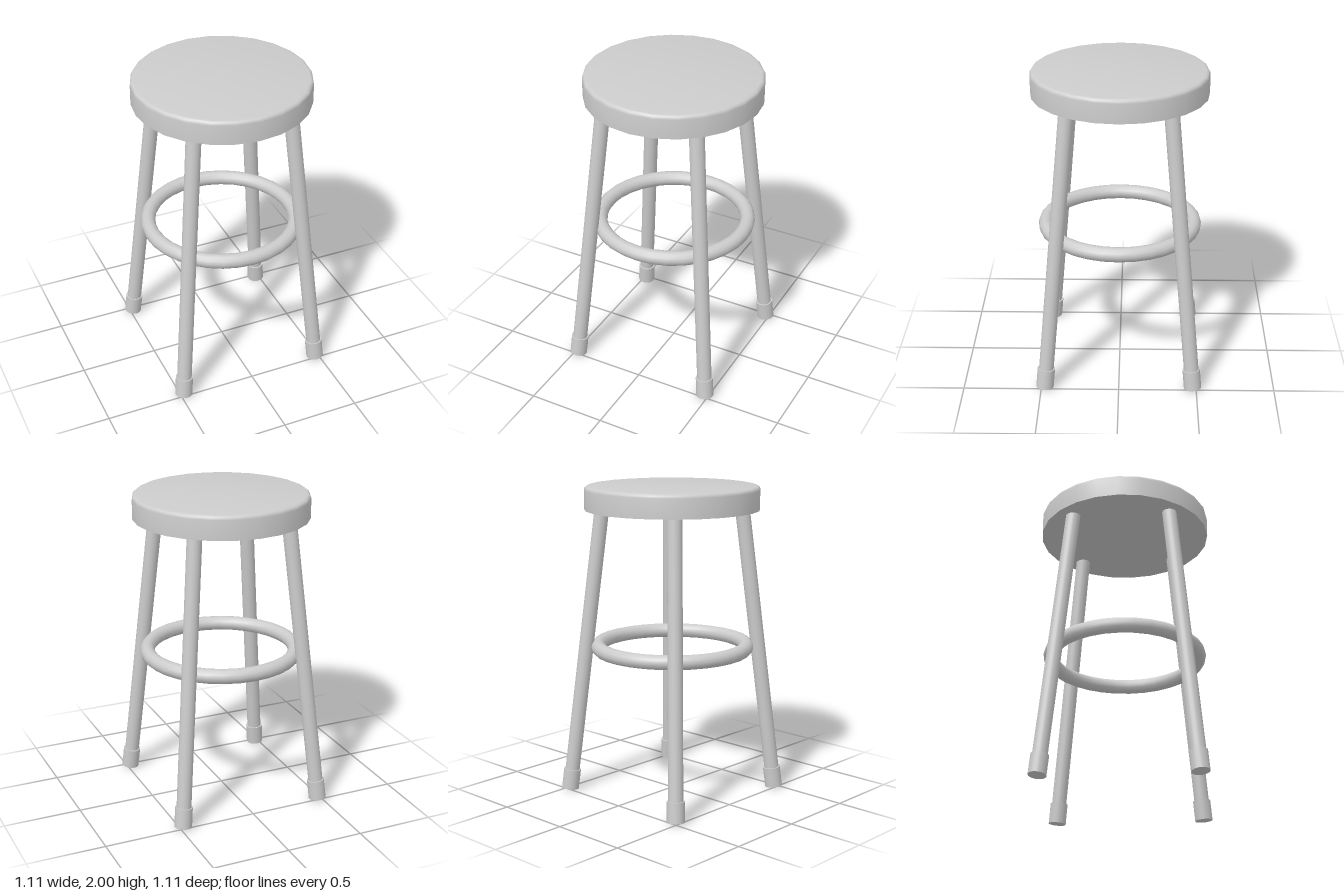
import * as THREE from 'three';
import { toCreasedNormals } from 'three/addons/utils/BufferGeometryUtils.js';

const material = new THREE.MeshStandardMaterial({ color: 0xcccccc });

function part(name, geometry) {
  const mesh = new THREE.Mesh(geometry, material);
  mesh.name = name;
  return mesh;
}

// Capped cylinder running from point a to point b
function rod(name, a, b, radius) {
  const mesh = part(name, new THREE.CylinderGeometry(radius, radius, a.distanceTo(b), 20));
  mesh.position.copy(a).add(b).multiplyScalar(0.5);
  mesh.quaternion.setFromUnitVectors(new THREE.Vector3(0, 1, 0), b.clone().sub(a).normalize());
  return mesh;
}

export function createModel() {
  const stool = new THREE.Group();
  stool.name = 'stool';

  // Round seat with a softened upper rim
  const R = 0.557, top = 2, base = 1.85, fillet = 0.025;
  const profile = [new THREE.Vector2(0, base), new THREE.Vector2(R, base)];
  for (let i = 0; i <= 4; i++) {
    const a = (i / 4) * Math.PI / 2;
    profile.push(new THREE.Vector2(R - fillet + fillet * Math.cos(a), top - fillet + fillet * Math.sin(a)));
  }
  profile.push(new THREE.Vector2(0, top));
  stool.add(part('seat', toCreasedNormals(new THREE.LatheGeometry(profile, 24), 0.6)));

  // Four splayed legs, each with a thicker foot cap
  for (const [sx, sz, side] of [[1, 1, 'frontLeft'], [-1, 1, 'frontRight'], [1, -1, 'backLeft'], [-1, -1, 'backRight']]) {
    const foot = new THREE.Vector3(0.477 * sx, 0.007, 0.477 * sz);
    const head = new THREE.Vector3(0.314 * sx, 1.86, 0.314 * sz);
    const capTop = foot.clone().lerp(head, 0.07);
    stool.add(rod(side + 'Leg', foot.clone().lerp(head, 0.01), head, 0.047));
    stool.add(rod(side + 'FootCap', foot, capTop, 0.056));
  }

  // Footrest ring joining the legs
  const ring = part('footrestRing', new THREE.TorusGeometry(0.478, 0.047, 12, 32));
  ring.rotation.x = Math.PI / 2;
  ring.position.y = 0.964;
  stool.add(ring);

  return stool;
}
